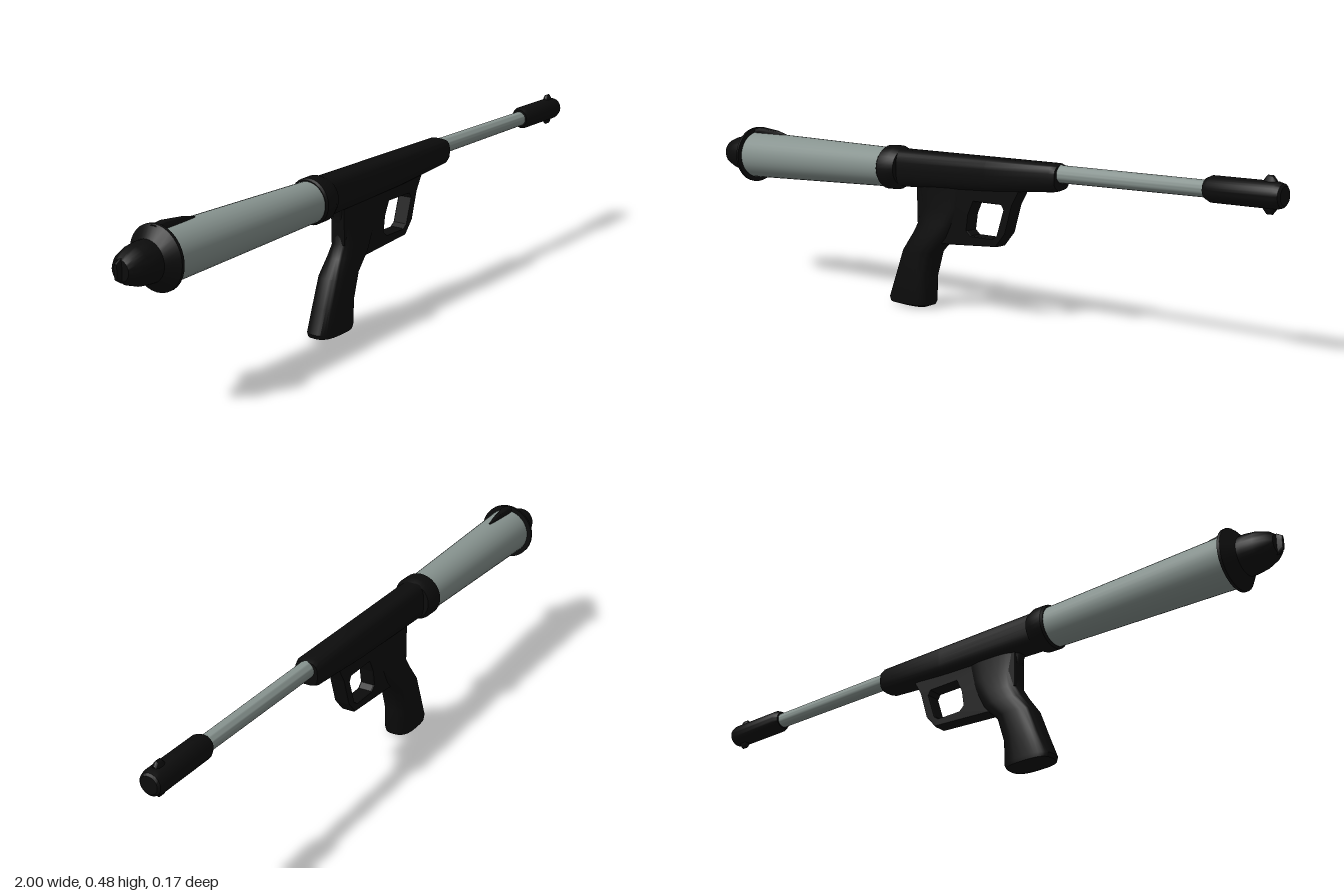
import * as THREE from 'three';
import { toCreasedNormals } from 'three/addons/utils/BufferGeometryUtils.js';

const black = new THREE.MeshStandardMaterial({ color: 0x0c0c0c });
black.name = 'matte black';
const grey = new THREE.MeshStandardMaterial({ color: 0x87938f });
grey.name = 'grey metal';

const SIDES = 32;

// Skin over rings [t, lowA, highA, halfB], capped at both ends.
// axis 'x': t = x, A = y, B = z.   axis 'y': t = y, A = x, B = z.
// power 1 is an ellipse; smaller values square the section off.
function loft(rings, axis = 'x', power = 1) {
  const pos = [], index = [];
  const bend = v => Math.sign(v) * Math.pow(Math.abs(v), power);
  const put = (t, a, b) => (axis === 'x' ? pos.push(t, a, b) : pos.push(a, t, b));
  for (const [t, lo, hi, half] of rings) {
    for (let j = 0; j < SIDES; j++) {
      const ang = (j / SIDES) * Math.PI * 2;
      const u = bend(Math.cos(ang)), v = bend(Math.sin(ang));
      if (axis === 'x') put(t, (lo + hi) / 2 + u * (hi - lo) / 2, v * half);
      else put(t, (lo + hi) / 2 + v * (hi - lo) / 2, u * half);
    }
  }
  const n = rings.length;
  for (let i = 0; i < n - 1; i++) {
    for (let j = 0; j < SIDES; j++) {
      const a = i * SIDES + j, b = i * SIDES + (j + 1) % SIDES;
      index.push(a, b, a + SIDES, b, b + SIDES, a + SIDES);
    }
  }
  for (const i of [0, n - 1]) {
    const [t, lo, hi] = rings[i];
    const c = pos.length / 3;
    put(t, (lo + hi) / 2, 0);
    for (let j = 0; j < SIDES; j++) {
      const a = i * SIDES + j, b = i * SIDES + (j + 1) % SIDES;
      if (i === 0) index.push(c, b, a);
      else index.push(c, a, b);
    }
  }
  const geo = new THREE.BufferGeometry();
  geo.setAttribute('position', new THREE.Float32BufferAttribute(pos, 3));
  geo.setIndex(index);
  return toCreasedNormals(geo, 0.6);
}

// Round section rings from [x, centreY, radius]
const round = list => loft(list.map(([x, y, r]) => [x, y - r, y + r, r]));

export function createModel() {
  const model = new THREE.Group();
  model.name = 'airPistol';
  const add = (name, geo, mat) => {
    const mesh = new THREE.Mesh(geo, mat);
    mesh.name = name;
    model.add(mesh);
    return mesh;
  };

  // Rear reservoir, tapering toward the receiver
  add('reservoir', round([[-0.865, 0.392, 0.071], [-0.28, 0.397, 0.057]]), grey);

  // Flared rear cap with a rounded knob
  add('rearCap', round([
    [-0.985, 0.392, 0.027], [-0.97, 0.392, 0.039], [-0.94, 0.392, 0.05],
    [-0.91, 0.392, 0.054], [-0.895, 0.392, 0.054], [-0.868, 0.392, 0.085],
    [-0.86, 0.392, 0.085],
  ]), black);
  add('rearTab', loft([
    [-1, 0.372, 0.412, 0.005], [-0.985, 0.362, 0.422, 0.006], [-0.96, 0.36, 0.424, 0.006],
  ], 'x', 0.6), black);

  // Rear sight ramp on top of the reservoir
  add('rearSight', loft([
    [-0.872, 0.44, 0.474, 0.014], [-0.84, 0.44, 0.479, 0.014],
    [-0.77, 0.44, 0.472, 0.008], [-0.73, 0.44, 0.463, 0.003],
  ], 'x', 0.6), black);

  // Collar joining reservoir and receiver
  add('collar', round([
    [-0.292, 0.398, 0.059], [-0.286, 0.398, 0.064], [-0.25, 0.399, 0.064],
    [-0.23, 0.4, 0.055],
  ]), black);

  // Receiver
  add('receiver', loft([
    [-0.25, 0.345, 0.455, 0.04], [0.1, 0.36, 0.455, 0.04],
    [0.32, 0.378, 0.455, 0.039], [0.335, 0.384, 0.45, 0.034],
  ], 'x', 0.65), black);

  // Barrel and muzzle sleeve
  add('barrel', round([[0.32, 0.427, 0.024], [0.8, 0.428, 0.022]]), grey);
  add('muzzle', round([
    [0.785, 0.429, 0.027], [0.8, 0.429, 0.034], [0.98, 0.429, 0.034],
    [0.995, 0.429, 0.03], [1, 0.429, 0.024],
  ]), black);
  add('frontSight', loft([
    [0.943, 0.392, 0.466, 0.012], [0.952, 0.381, 0.477, 0.014],
    [0.968, 0.381, 0.477, 0.014], [0.977, 0.392, 0.466, 0.012],
  ]), black);

  // Pistol grip, leaning back and narrowing into the frame
  add('grip', loft([
    [0, -0.24, -0.15, 0.02], [0.008, -0.274, -0.128, 0.041], [0.02, -0.278, -0.122, 0.042],
    [0.09, -0.25, -0.122, 0.042], [0.165, -0.222, -0.1, 0.042],
    [0.215, -0.188, -0.05, 0.037], [0.25, -0.168, -0.03, 0.033],
    [0.3, -0.163, 0, 0.027], [0.37, -0.185, 0.02, 0.027],
  ], 'y', 0.7), black);

  // Frame with the trigger guard opening
  const frame = new THREE.Shape([
    [-0.165, 0.37], [-0.163, 0.25], [-0.1, 0.195], [-0.078, 0.197], [0.126, 0.211],
    [0.158, 0.249], [0.182, 0.33], [0.205, 0.37],
  ].map(p => new THREE.Vector2(...p)));
  frame.holes.push(new THREE.Path([
    [0.045, 0.33], [0.145, 0.33], [0.154, 0.315], [0.13, 0.24], [0.115, 0.229],
    [0.035, 0.229], [0.019, 0.243], [0.026, 0.29],
  ].map(p => new THREE.Vector2(...p))));
  const frameGeo = new THREE.ExtrudeGeometry(frame, {
    depth: 0.036, bevelEnabled: true, bevelThickness: 0.004, bevelSize: 0.002, bevelSegments: 1,
  });
  frameGeo.translate(0, 0, -0.018);
  add('frameAndTriggerGuard', frameGeo, black);

  return model;
}
